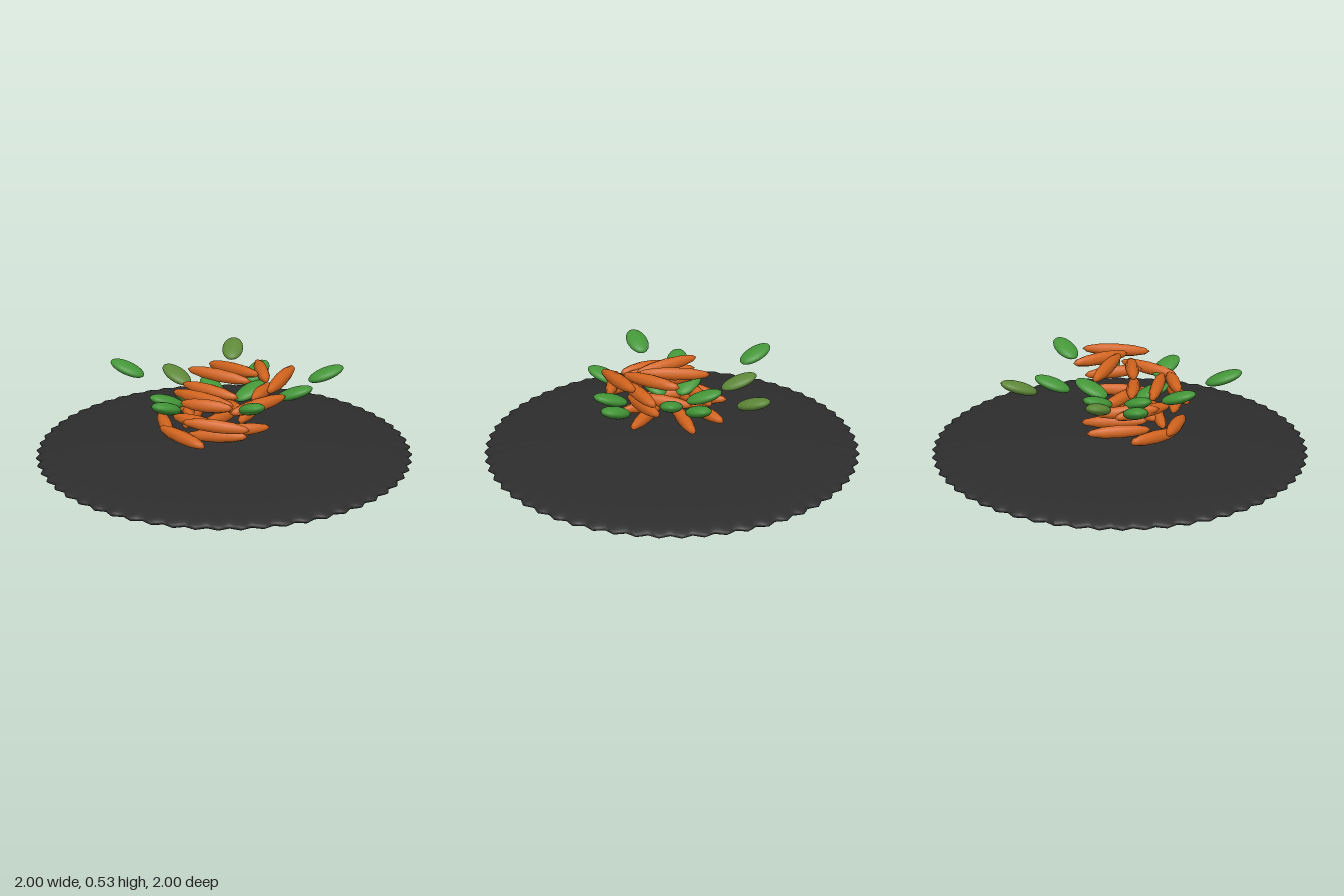
import * as THREE from 'three';

const mat = (name, color) => {
  const m = new THREE.MeshStandardMaterial({ color });
  m.name = name;
  return m;
};

// Shallow lens-shaped plate whose rim is fluted
function plateGeometry() {
  const flutes = 60;
  const g = new THREE.SphereGeometry(1, flutes * 4, 40);
  const p = g.attributes.position;
  for (let i = 0; i < p.count; i++) {
    const x = p.getX(i), y = p.getY(i), z = p.getZ(i);
    const r = Math.hypot(x, z);
    const k = 0.988 + 0.012 * Math.cos(flutes * Math.atan2(z, x)) * r ** 6;
    p.setXYZ(i, x * k, y * 0.079, z * k);
  }
  g.computeVertexNormals();
  return g;
}

export function createModel() {
  const group = new THREE.Group();
  const charcoal = mat('charcoal', 0x2d2d2d);
  const orange = mat('orange', 0xd2641e);
  const green = mat('leaf green', 0x449638);
  const olive = mat('olive green', 0x5e8838);

  const plate = new THREE.Mesh(plateGeometry(), charcoal);
  plate.name = 'plate';
  plate.position.y = 0.085;
  group.add(plate);

  // Pasta tubes, layer by layer: start x, z and end x, z
  const layers = [
    { y: 0.22, tubes: [
      [-0.33, 0.16, -0.06, 0.33], [-0.26, -0.1, -0.1, 0.2], [-0.09, -0.19, -0.02, 0.16],
      [-0.17, 0.31, 0.16, 0.31], [0.03, 0.2, 0.23, -0.11], [-0.03, 0.25, 0.26, 0.1]] },
    { y: 0.32, tubes: [
      [0.05, 0.36, 0.34, 0.17], [-0.25, 0.05, 0.02, 0.27], [-0.2, -0.07, -0.08, 0.24],
      [0.1, -0.21, 0.22, 0.12], [-0.07, 0.31, 0.25, 0.26], [-0.1, -0.06, 0.2, 0.06]] },
    { y: 0.41, tubes: [
      [0.34, -0.1, 0.27, 0.24], [-0.16, 0.22, 0.23, 0.17], [0.12, -0.24, 0.25, 0.05],
      [-0.19, 0.12, 0.14, 0.04], [0, 0.32, 0.25, 0.2]] },
    { y: 0.5, tubes: [
      [0.23, -0.29, 0.36, 0.06], [0, -0.26, 0.26, -0.04],
      [-0.19, -0.08, 0.19, -0.06], [-0.15, 0.12, 0.19, 0]] },
  ];
  const tubeGeo = new THREE.SphereGeometry(1, 8, 6);
  tubeGeo.rotateZ(Math.PI / 2);
  const xAxis = new THREE.Vector3(1, 0, 0);
  const pasta = new THREE.Group();
  pasta.name = 'pastaNest';
  layers.forEach(({ y, tubes }) => tubes.forEach(([x0, z0, x1, z1], i) => {
    const tilt = 0.012 * ((i % 3) - 1);
    const a = new THREE.Vector3(x0, y - tilt, z0);
    const b = new THREE.Vector3(x1, y + tilt, z1);
    const tube = new THREE.Mesh(tubeGeo, orange);
    tube.name = 'pastaTube';
    tube.position.copy(a).add(b).multiplyScalar(0.5);
    tube.scale.set(a.distanceTo(b) / 2, 0.036, 0.036);
    tube.quaternion.setFromUnitVectors(xAxis, b.sub(a).normalize());
    pasta.add(tube);
  }));
  group.add(pasta);

  // Basil leaves point outwards with raised tips: x, y, z, material
  const leafGeo = new THREE.SphereGeometry(1, 24, 14);
  const leaves = new THREE.Group();
  leaves.name = 'leaves';
  [
    [-0.34, 0.465, -0.43, olive], [0.34, 0.465, -0.43, green],
    [-0.5, 0.465, 0.235, green], [0.12, 0.465, 0.53, green],
    [-0.08, 0.405, -0.35, green], [-0.36, 0.405, 0, olive], [-0.08, 0.405, 0.34, green],
    [0.34, 0.42, -0.17, green], [0.34, 0.42, 0.16, green],
    [-0.16, 0.36, -0.07, green], [0.03, 0.36, -0.17, green],
    [-0.11, 0.36, 0.13, green], [0.08, 0.36, 0.15, green],
  ].forEach(([x, y, z, m]) => {
    const leaf = new THREE.Mesh(leafGeo, m);
    leaf.name = 'leaf';
    leaf.position.set(x, y, z);
    leaf.rotation.set(0, Math.atan2(-z, x), 0.36, 'YZX');
    leaf.scale.set(0.1, 0.03, 0.06);
    leaves.add(leaf);
  });
  group.add(leaves);

  return group;
}
